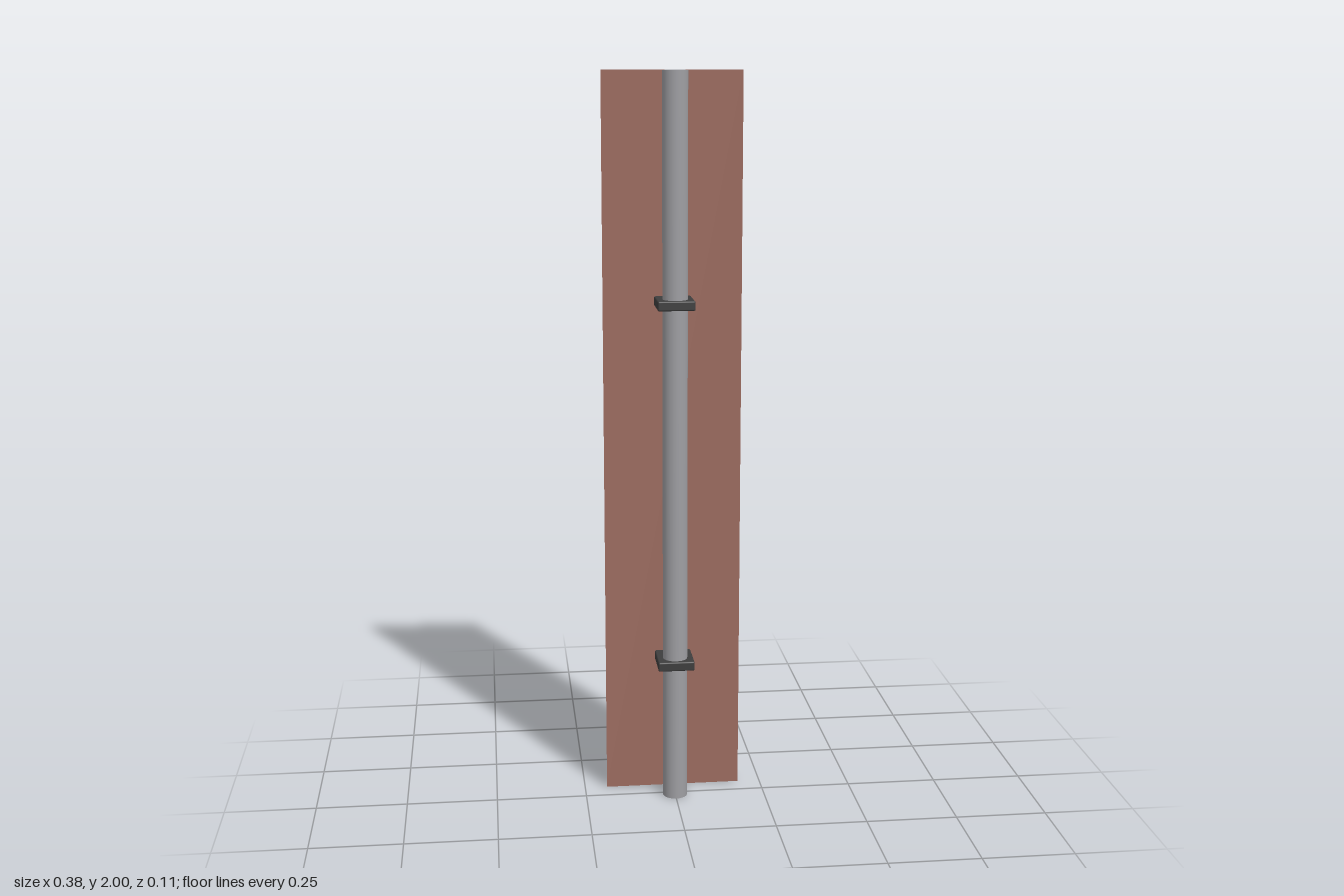
import * as THREE from 'three';
import { RoundedBoxGeometry } from 'three/addons/geometries/RoundedBoxGeometry.js';

export function createModel() {
  const model = new THREE.Group();
  model.name = 'wallPipe';

  const material = (name, color) => {
    const m = new THREE.MeshStandardMaterial({ color });
    m.name = name;
    return m;
  };
  const brick = material('brickBrown', 0x9c6b5f);
  const steel = material('steelGrey', 0x9e9ea2);
  const dark = material('darkGrey', 0x3e3e3e);
  brick.side = THREE.DoubleSide;

  const add = (name, geometry, mat, x, y, z) => {
    const mesh = new THREE.Mesh(geometry, mat);
    mesh.name = name;
    mesh.position.set(x, y, z);
    model.add(mesh);
  };

  // Thin wall sheet behind the pipe
  add('wall', new THREE.PlaneGeometry(0.376, 2), brick, 0, 1, -0.055);

  // Full-height pipe
  add('pipe', new THREE.CylinderGeometry(0.034, 0.034, 2, 24), steel, 0, 1, 0.012);

  // Two brackets holding the pipe to the wall, with softened edges
  const bracket = new RoundedBoxGeometry(0.1, 0.026, 0.1095, 2, 0.004);
  [['lowerBracket', 0.394], ['upperBracket', 1.394]].forEach(([name, y]) =>
    add(name, bracket, dark, 0, y, 0.0003));

  return model;
}
